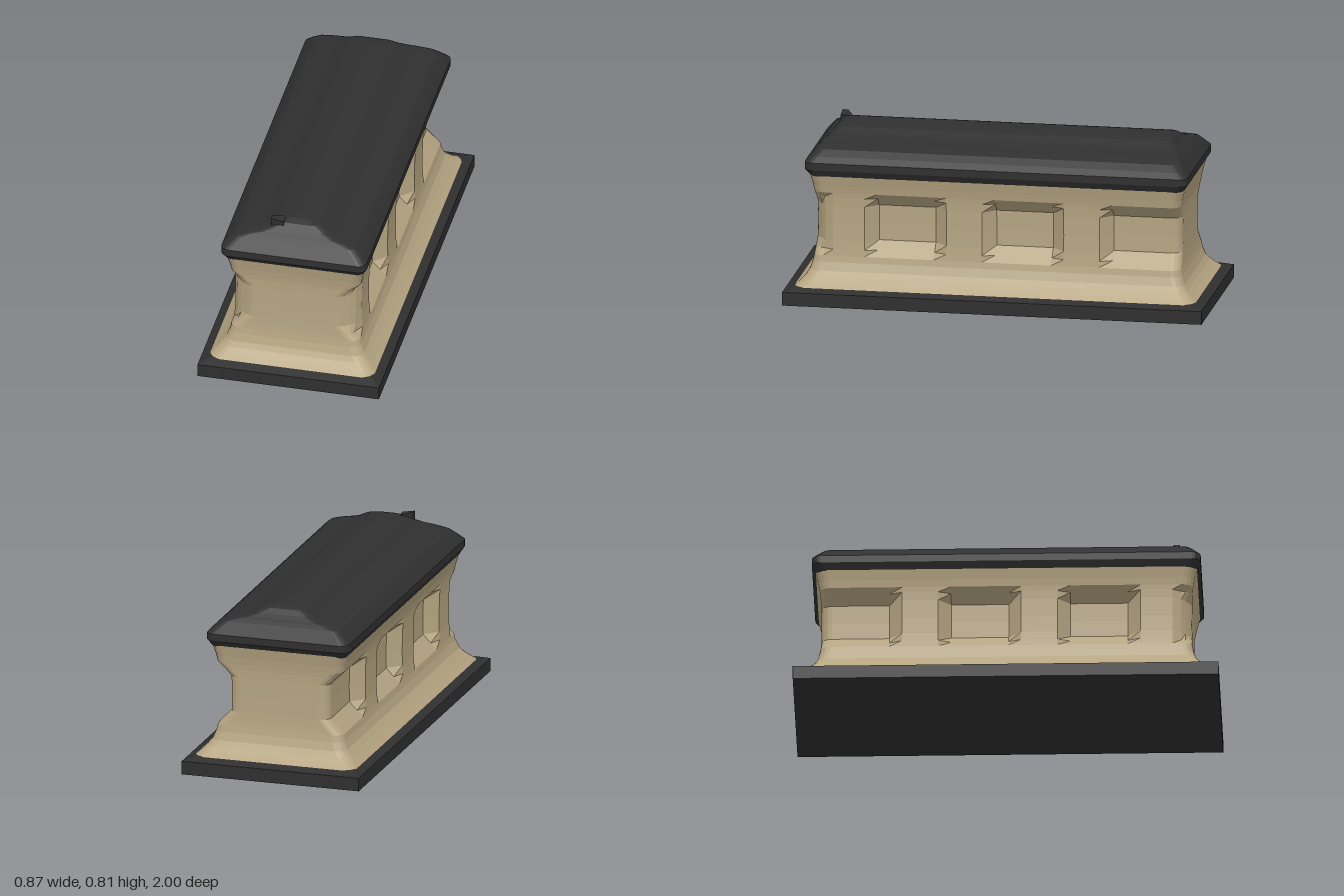
import * as THREE from 'three';

const black = new THREE.MeshStandardMaterial({ color: 0x2f2f2f });
black.name = 'blackStone';
const tan = new THREE.MeshStandardMaterial({ color: 0xb6a582 });
tan.name = 'sandStone';

// Rounded rectangle at height y, with side stations zs and end stations xs
function ring(y, hx, hz, r, zs, xs) {
  const pts = [];
  const steps = 4;
  const cx = hx - r, cz = hz - r;
  const corner = (sx, sz, start) => {
    for (let i = 0; i <= steps; i++) {
      const a = start + (i / steps) * Math.PI / 2;
      pts.push(new THREE.Vector3(sx * cx + r * Math.cos(a), y, sz * cz + r * Math.sin(a)));
    }
  };
  zs.forEach(z => pts.push(new THREE.Vector3(hx, y, z)));
  corner(1, 1, 0);
  xs.forEach(x => pts.push(new THREE.Vector3(-x, y, hz)));
  corner(-1, 1, Math.PI / 2);
  [...zs].reverse().forEach(z => pts.push(new THREE.Vector3(-hx, y, z)));
  corner(-1, -1, Math.PI);
  xs.forEach(x => pts.push(new THREE.Vector3(x, y, -hz)));
  corner(1, -1, Math.PI * 1.5);
  return pts;
}

// Faceted skin over stacked rings, closed at both ends
function loft(name, rings, material) {
  const pos = [];
  const tri = (...vs) => vs.forEach(v => pos.push(v.x, v.y, v.z));
  const n = rings[0].length;
  for (let i = 0; i < rings.length - 1; i++) {
    for (let j = 0; j < n; j++) {
      const k = (j + 1) % n;
      const a = rings[i][j], b = rings[i][k], c = rings[i + 1][j], d = rings[i + 1][k];
      tri(a, c, b);
      tri(b, c, d);
    }
  }
  const low = rings[0], high = rings[rings.length - 1];
  const lowMid = new THREE.Vector3(0, low[0].y, 0);
  const highMid = new THREE.Vector3(0, high[0].y, 0);
  for (let j = 0; j < n; j++) {
    const k = (j + 1) % n;
    tri(lowMid, low[j], low[k]);
    tri(highMid, high[k], high[j]);
  }
  const geo = new THREE.BufferGeometry();
  geo.setAttribute('position', new THREE.Float32BufferAttribute(pos, 3));
  geo.computeVertexNormals();
  const mesh = new THREE.Mesh(geo, material);
  mesh.name = name;
  return mesh;
}

const ramp = (v, a, b) => THREE.MathUtils.clamp((v - a) / (b - a), 0, 1);

// Sunken side panels, spaced evenly and running out through the end corners
const panelStarts = [-0.88, -0.32, 0.24, 0.80];
function panelDepth(y, z) {
  const up = Math.min(ramp(y, 0.22, 0.29), ramp(y, 0.525, 0.46));
  let along = 0;
  for (const s of panelStarts) {
    const left = s < -0.8 ? 1 : ramp(z, s, s + 0.06);
    const right = s > 0.7 ? 1 : ramp(z, s + 0.39, s + 0.33);
    along = Math.max(along, Math.min(left, right));
  }
  return 0.06 * Math.min(up, along);
}

function makeBody() {
  const rows = [
    [0.078, 0.398, 0.958], [0.1, 0.375, 0.932], [0.125, 0.352, 0.908], [0.15, 0.332, 0.893],
    [0.19, 0.317, 0.881], [0.22, 0.311, 0.876], [0.25, 0.308, 0.873], [0.29, 0.305, 0.871],
    [0.37, 0.304, 0.87], [0.46, 0.306, 0.871], [0.5, 0.309, 0.873], [0.525, 0.312, 0.876],
    [0.56, 0.319, 0.882], [0.615, 0.333, 0.895],
  ];
  const zs = [-0.7, -0.55, -0.49, -0.32, -0.26, -0.12, 0.01, 0.07, 0.24, 0.3, 0.43, 0.57, 0.63, 0.78];
  const xs = [-0.19, -0.1, 0, 0.1, 0.19];
  const rings = rows.map(([y, hx, hz]) => {
    const pts = ring(y, hx, hz, 0.05, zs, xs);
    pts.forEach(p => {
      if (Math.abs(p.x) > 0.22) p.x -= Math.sign(p.x) * panelDepth(y, p.z);
    });
    return pts;
  });
  return loft('body', rings, tan);
}

function makeLid() {
  const rows = [
    [0.606, 0.33, 0.888], [0.64, 0.35, 0.913], [0.675, 0.35, 0.913], [0.702, 0.325, 0.89],
    [0.73, 0.293, 0.866], [0.745, 0.245, 0.85], [0.756, 0.19, 0.837], [0.772, 0.147, 0.82],
    [0.795, 0.105, 0.8], [0.808, 0.055, 0.77], [0.812, 0.015, 0.74],
  ];
  const rings = rows.map(([y, hx, hz]) =>
    ring(y, hx, hz, Math.min(0.04, hx * 0.4), [-0.5, 0, 0.5], [0]));
  return loft('lid', rings, black);
}

// Base slab with a shallow sloped top
function makeBase() {
  const rows = [[0, 0.437, 1], [0.064, 0.437, 1], [0.082, 0.39, 0.95]];
  const rings = rows.map(([y, hx, hz]) => ring(y, hx, hz, 0.001, [], []));
  return loft('base', rings, black);
}

// Small pointed chip standing on the front of the lid
function makeChip() {
  const shape = new THREE.Shape([
    new THREE.Vector2(-0.126, 0.765), new THREE.Vector2(-0.065, 0.765),
    new THREE.Vector2(-0.065, 0.804), new THREE.Vector2(-0.126, 0.815),
  ]);
  const geo = new THREE.ExtrudeGeometry(shape, { depth: 0.06, bevelEnabled: false });
  geo.translate(0, 0, 0.75);
  // pinch the inner back edge to make a wedge
  const p = geo.attributes.position;
  for (let i = 0; i < p.count; i++) {
    if (p.getX(i) < -0.1 && p.getZ(i) < 0.78) p.setZ(i, 0.785);
  }
  geo.computeVertexNormals();
  const mesh = new THREE.Mesh(geo, black);
  mesh.name = 'lidChip';
  return mesh;
}

export function createModel() {
  const group = new THREE.Group();
  group.name = 'stoneCoffin';
  group.add(makeBase(), makeBody(), makeLid(), makeChip());
  return group;
}
